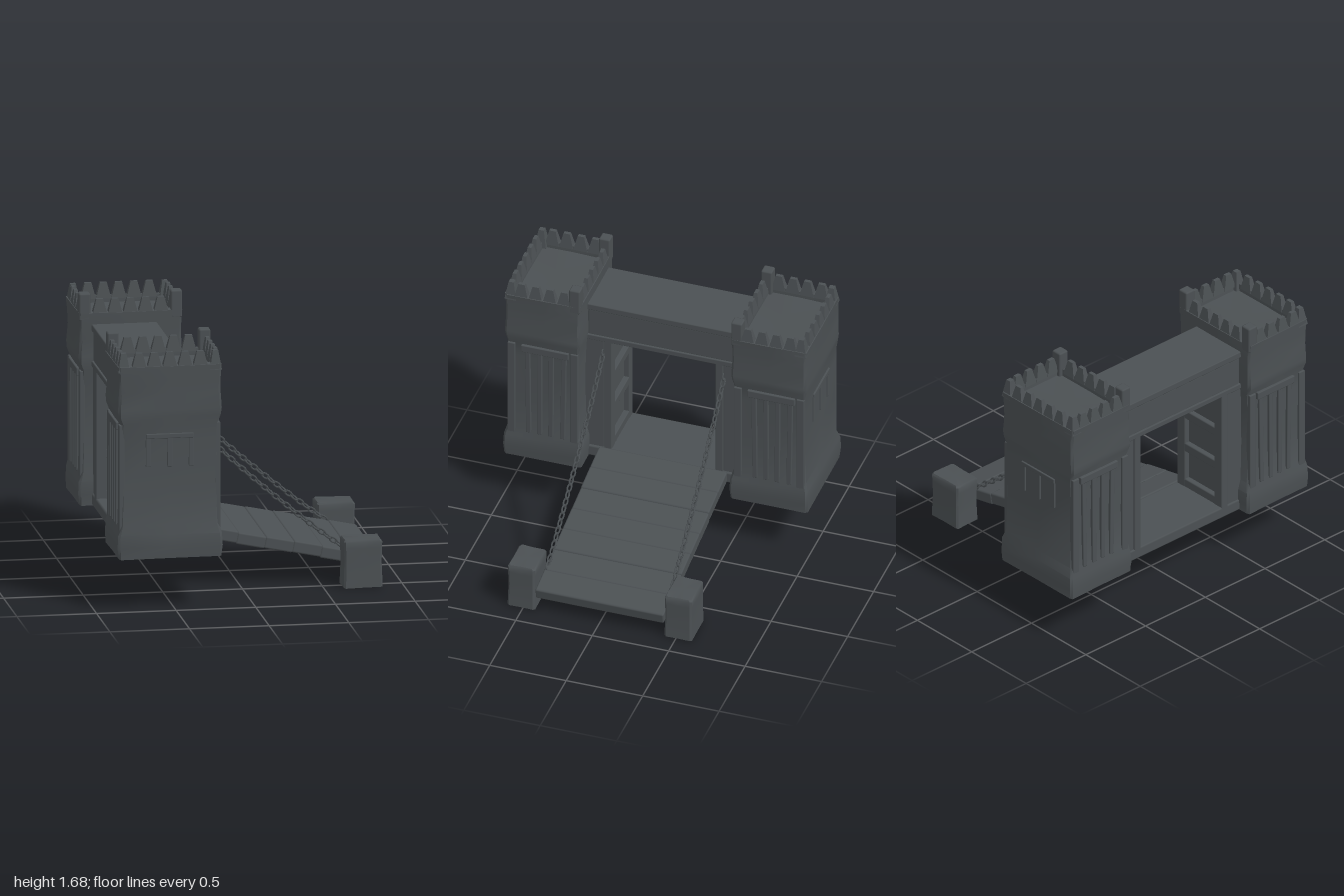
import * as THREE from 'three';
import { toCreasedNormals } from 'three/addons/utils/BufferGeometryUtils.js';
import { RoundedBoxGeometry } from 'three/addons/geometries/RoundedBoxGeometry.js';

const stone = new THREE.MeshStandardMaterial({ color: 0x4b5053 });
stone.name = 'dark stone';

function add(parent, name, geometry, x = 0, y = 0, z = 0) {
  const mesh = new THREE.Mesh(geometry, stone);
  mesh.name = name;
  mesh.position.set(x, y, z);
  parent.add(mesh);
  return mesh;
}

// Softened block given by its limits
function block(parent, name, x0, x1, y0, y1, z0, z1) {
  const w = x1 - x0, h = y1 - y0, d = z1 - z0;
  const g = new RoundedBoxGeometry(w, h, d, 1, Math.min(w, h, d) * 0.15);
  return add(parent, name, g, (x0 + x1) / 2, (y0 + y1) / 2, (z0 + z1) / 2);
}

// Stack of chamfered rectangles [y, halfX, halfZ], worn by a small wobble
function loft(sections, chamfer, wobble) {
  const pos = [], idx = [], n = 12;
  sections.forEach(([y, hx, hz], i) => {
    const a = hx - chamfer, b = hz - chamfer;
    const ring = [[hx, b], [hx, 0], [hx, -b], [a, -hz], [0, -hz], [-a, -hz],
      [-hx, -b], [-hx, 0], [-hx, b], [-a, hz], [0, hz], [a, hz]];
    ring.forEach(([x, z], j) => {
      const k = 1 + wobble * Math.sin(j * 2.3 + i * 1.7);
      pos.push(x * k, y + wobble * 0.3 * Math.sin(j * 1.9 + i), z * k);
    });
  });
  const last = (sections.length - 1) * n;
  const bottom = pos.length / 3, top = bottom + 1;
  pos.push(0, sections[0][0], 0, 0, sections[sections.length - 1][0], 0);
  for (let j = 0; j < n; j++) {
    const k = (j + 1) % n;
    for (let r = 0; r < last; r += n) {
      idx.push(r + j, r + k, r + n + k, r + j, r + n + k, r + n + j);
    }
    idx.push(bottom, k, j, top, last + j, last + k);
  }
  const g = new THREE.BufferGeometry();
  g.setAttribute('position', new THREE.Float32BufferAttribute(pos, 3));
  g.setIndex(idx);
  return toCreasedNormals(g, 0.65);
}

// Four-sided tapering tooth
function toothGeometry(width, depth, height) {
  const g = new THREE.CylinderGeometry(0.32, 0.707, 1, 4, 1);
  g.rotateY(Math.PI / 4);
  g.scale(width, height, depth);
  return toCreasedNormals(g, 0.4);
}

function createTower(side) {
  const tower = new THREE.Group();
  tower.name = 'tower';
  add(tower, 'towerBody', loft([
    [0.33, 0.322, 0.252], [0.4, 0.328, 0.256], [0.48, 0.326, 0.254], [0.54, 0.308, 0.238],
    [0.8, 0.302, 0.228], [1.08, 0.305, 0.23], [1.18, 0.306, 0.236], [1.23, 0.322, 0.243],
    [1.27, 0.324, 0.245], [1.38, 0.318, 0.241], [1.47, 0.322, 0.244], [1.55, 0.326, 0.246],
    [1.555, 0.278, 0.198], [1.51, 0.276, 0.196],
  ], 0.014, 0.007));

  // Battlements round the parapet
  const alongX = toothGeometry(0.095, 0.052, 0.1);
  const alongZ = toothGeometry(0.052, 0.092, 0.1);
  for (const e of [-1, 1]) {
    for (let i = -2; i <= 2; i++) add(tower, 'merlon', alongX, i * 0.096, 1.585, e * 0.218);
    for (let i = -1.5; i <= 1.5; i++) add(tower, 'merlon', alongZ, e * 0.298, 1.585, i * 0.093);
    add(tower, 'outerCornerMerlon', toothGeometry(0.075, 0.075, 0.12), e * 0.288, 1.575, side * 0.208);
    const x = e * 0.288, z = -side * 0.21;
    block(tower, 'innerCornerBlock', x - 0.036, x + 0.036, 1.5, 1.675, z - 0.036, z + 0.036);
  }

  // Slender ribs and frames on the two x faces
  for (const e of [-1, 1]) {
    for (const z of [-0.135, -0.055, 0.02, 0.095]) {
      const rib = block(tower, 'windowRib', e * 0.304 - 0.016, e * 0.304 + 0.016, 0.52, 1.14, z - 0.016, z + 0.016);
      rib.rotation.x = z * 0.12;
    }
    block(tower, 'ribLintel', e * 0.306 - 0.018, e * 0.306 + 0.018, 1.13, 1.18, -0.17, 0.14);
    for (const z of [-0.205, 0.205]) {
      block(tower, 'cornerPilaster', e * 0.3 - 0.018, e * 0.3 + 0.018, 0.5, 1.18, z - 0.025, z + 0.025);
    }
  }

  // Twin window surround on the outer and inner faces
  for (const e of [-1, 1]) {
    for (const x of [-0.135, 0, 0.135]) {
      block(tower, 'windowJamb', x - 0.016, x + 0.016, 0.91, 1.1, e * 0.225 - 0.014, e * 0.225 + 0.014);
    }
    block(tower, 'windowHead', -0.15, 0.15, 1.09, 1.12, e * 0.228 - 0.015, e * 0.228 + 0.015);
  }
  tower.position.set(-0.535, 0, side * 0.74);
  return tower;
}

// Panelled gate pillar with a ladder of raised bars on its inner face
function createPillar(side) {
  const pillar = new THREE.Group();
  pillar.name = 'gatePillar';
  const bar = (name, x0, x1, y0, y1, zIn, zOut) =>
    block(pillar, name, x0, x1, y0, y1, Math.min(side * zIn, side * zOut), Math.max(side * zIn, side * zOut));
  bar('pillarCore', -0.77, -0.375, 0.34, 1.24, 0.375, 0.53);
  bar('pillarStile', -0.78, -0.71, 0.38, 1.23, 0.338, 0.39);
  bar('pillarStile', -0.44, -0.37, 0.38, 1.23, 0.338, 0.39);
  for (const y of [0.4, 0.66, 0.9, 1.15]) bar('pillarRail', -0.74, -0.41, y, y + 0.06, 0.34, 0.39);
  return pillar;
}

// Chain of alternating links with a slight sag
function createChain(side) {
  const chain = new THREE.Group();
  chain.name = 'chain';
  const curve = new THREE.QuadraticBezierCurve3(
    new THREE.Vector3(-0.38, 1.13, side * 0.395),
    new THREE.Vector3(0.1, 0.62, side * 0.4),
    new THREE.Vector3(0.66, 0.21, side * 0.405));
  const link = new THREE.TorusGeometry(0.016, 0.006, 5, 10);
  link.scale(1.6, 1, 1);
  const count = 30;
  for (let i = 0; i <= count; i++) {
    const p = curve.getPointAt(i / count), t = curve.getTangentAt(i / count);
    const mesh = add(chain, 'chainLink', link, p.x, p.y, p.z);
    mesh.quaternion.setFromUnitVectors(new THREE.Vector3(1, 0, 0), t);
    mesh.rotateX((i % 2) * Math.PI / 2 + 0.4);
  }
  return chain;
}

export function createModel() {
  const model = new THREE.Group();
  model.name = 'castleDrawbridge';

  // Overhead walkway between the towers
  block(model, 'walkwayBeam', -0.77, -0.38, 1.215, 1.46, -0.52, 0.52);
  block(model, 'walkwayTop', -0.78, -0.37, 1.435, 1.478, -0.52, 0.52);
  block(model, 'walkwayFoot', -0.78, -0.37, 1.21, 1.245, -0.52, 0.52);

  // Gate floor
  block(model, 'gateFloor', -0.78, -0.36, 0.33, 0.405, -0.52, 0.52);

  // Sloping deck of cross planks
  const deck = new THREE.Group();
  deck.name = 'drawbridgeDeck';
  const planks = 7, length = 1.255, step = length / planks;
  for (let i = 0; i < planks; i++) {
    const x = (i - planks / 2) * step, lift = 0.003 * Math.sin(i * 2.1);
    block(deck, 'plank', x - 0.003, x + step + 0.003, -0.038 + lift, 0.038 + lift, -0.42, 0.42);
  }
  deck.position.set(0.245, 0.25, 0);
  deck.rotation.z = -Math.atan(0.205);
  model.add(deck);

  for (const side of [-1, 1]) {
    model.add(createTower(side), createPillar(side), createChain(side));
    // Stone post at the far end of the deck
    add(model, 'endPost', loft([
      [0, 0.122, 0.09], [0.05, 0.12, 0.089], [0.16, 0.117, 0.086], [0.25, 0.12, 0.089],
      [0.29, 0.12, 0.089], [0.302, 0.112, 0.081],
    ], 0.012, 0.008), 0.742, 0, side * 0.513);
  }
  return model;
}
